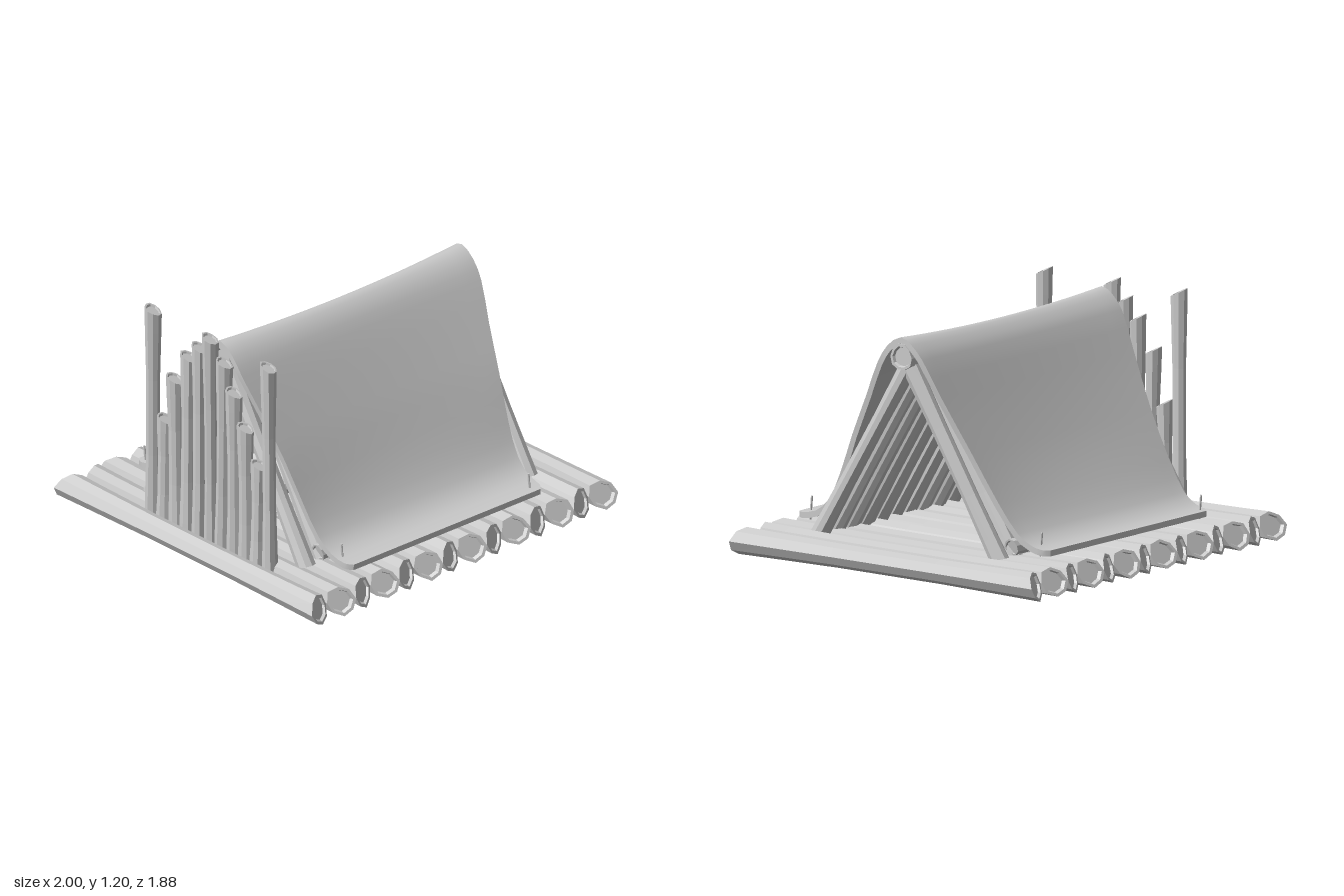
import * as THREE from 'three';

const wood = new THREE.MeshStandardMaterial({ color: 0xcccccc, flatShading: true });
const cloth = new THREE.MeshStandardMaterial({ color: 0xcccccc, side: THREE.DoubleSide });
const UP = new THREE.Vector3(0, 1, 0);

// Roughly hewn log between two points: narrow waist, slanted ends with a sunken core
function log(name, from, to, r, { cutX = 0, cutZ = 0, waist = 0.87, sides = 9, turn = 0 } = {}) {
  const a = new THREE.Vector3(...from), b = new THREE.Vector3(...to);
  const h = a.distanceTo(b) / 2, dip = r * 0.22;
  const half = [[r * waist, h * 0.35], [r * 0.95, h * 0.8], [r, h], [r * 0.8, h], [r * 0.72, h - dip], [0, h - dip]];
  const profile = [
    ...half.map(([x, y]) => new THREE.Vector2(x, -y)).reverse(),
    ...half.map(([x, y]) => new THREE.Vector2(x, y)),
  ];
  const geo = new THREE.LatheGeometry(profile, sides);
  const p = geo.attributes.position;
  for (let i = 0; i < p.count; i++) {
    // Uneven girth, then the slanted cut at each end
    const girth = 1 + 0.05 * Math.sin(3 * Math.atan2(p.getX(i), p.getZ(i)) + turn);
    const x = p.getX(i) * girth, y = p.getY(i), z = p.getZ(i) * girth;
    const cut = Math.abs(y) > h * 0.85 ? Math.sign(y) * (cutZ * z - cutX * x) : 0;
    p.setXYZ(i, x, y + cut, z);
  }
  geo.computeVertexNormals();
  const mesh = new THREE.Mesh(geo, wood);
  mesh.name = name;
  mesh.position.copy(a).add(b).multiplyScalar(0.5);
  mesh.quaternion.setFromUnitVectors(UP, b.sub(a).normalize());
  return mesh;
}

// Draped sheet: a thin box bent along a curve of (half width, height, depth)
function makeCover() {
  const path = new THREE.CatmullRomCurve3([
    [0.61, 0.160, -0.74], [0.635, 0.161, -0.71], [0.642, 0.178, -0.64], [0.65, 0.23, -0.56],
    [0.668, 0.37, -0.455], [0.70, 0.61, -0.31], [0.75, 0.87, -0.165], [0.78, 1.05, -0.07],
    [0.785, 1.115, -0.01], [0.785, 1.143, 0.045], [0.785, 1.095, 0.12], [0.78, 1.01, 0.18],
    [0.74, 0.83, 0.28], [0.70, 0.61, 0.4], [0.668, 0.40, 0.5], [0.65, 0.25, 0.59],
    [0.642, 0.182, 0.68], [0.635, 0.162, 0.775], [0.61, 0.160, 0.81],
  ].map(q => new THREE.Vector3(...q)));
  const geo = new THREE.BoxGeometry(2, 1, 1, 16, 1, 36);
  const p = geo.attributes.position;
  for (let i = 0; i < p.count; i++) {
    const u = p.getX(i), t = p.getZ(i) + 0.5;
    const c = path.getPoint(t), d = path.getTangent(t);
    const len = Math.hypot(d.y, d.z) || 1;
    const sag = 0.026 * (1 - u * u) * THREE.MathUtils.smoothstep(c.y, 0.15, 0.6);
    const off = p.getY(i) * 0.03 - sag;
    p.setXYZ(i, u * c.x - 0.006, c.y + off * d.z / len, c.z - off * d.y / len);
  }
  geo.computeVertexNormals();
  const mesh = new THREE.Mesh(geo, cloth);
  mesh.name = 'clothCover';
  return mesh;
}

export function createModel() {
  const model = new THREE.Group();
  model.name = 'raftShelter';

  // Raft floor: neighbouring logs are turned end for end
  const floor = new THREE.Group();
  floor.name = 'raftFloor';
  for (let i = 0; i < 14; i++) {
    const pivot = new THREE.Group();
    pivot.name = 'floorLogPivot';
    pivot.add(log('floorLog', [0, 0, -0.905], [0, 0, 0.905], 0.07, { cutX: 0.4, cutZ: 0.36, sides: 8, turn: (i % 3) * 0.9 }));
    pivot.position.set(-0.926 + i * 0.1425, 0.07, 0);
    pivot.rotation.y = i % 2 ? Math.PI : 0;
    floor.add(pivot);
  }
  model.add(floor);

  // End wall of upright posts: tall in the middle and at both corners
  const wall = new THREE.Group();
  wall.name = 'postWall';
  const tops = [1.18, 0.62, 0.87, 1.02, 1.1, 1.18, 1.08, 0.95, 0.79, 0.62, 1.18];
  tops.forEach((top, i) => {
    const z = -0.403 + i * 0.0843, lean = 0.005 * Math.sin(i * 2.3);
    wall.add(log('wallPost', [-0.832 - lean, 0.025, z], [-0.832 + lean, top, z + lean], 0.042, { cutX: 0.2, cutZ: -0.45, waist: 0.8, turn: i }));
  });
  model.add(wall);

  // Ridge pole and closely set pairs of rafters
  const frame = new THREE.Group();
  frame.name = 'tentFrame';
  frame.add(log('ridgePole', [-0.785, 1.06, 0.04], [0.785, 1.06, 0.04], 0.066, { waist: 0.85, sides: 10 }));
  for (let i = 0; i < 14; i++) {
    const x = -0.725 + i * 0.1115;
    for (const s of [-1, 1]) {
      frame.add(log('rafter', [x + s * 0.008, 0.12, 0.03 + s * 0.545], [x, 1.01, 0.03 + s * 0.005], 0.047, { cutZ: s * 0.3, turn: i }));
    }
  }

  // Short braces beside the post wall and foot beams under the cover
  for (const s of [-1, 1]) {
    frame.add(log('wallBrace', [-0.78, 0.42, 0.035 + s * 0.275], [-0.6, 0.42, 0.035 + s * 0.275], 0.045, { cutX: 0.2 }));
    frame.add(log('footBeam', [-0.65, 0.17, 0.027 + s * 0.56], [0.65, 0.17, 0.027 + s * 0.56], 0.042, { cutX: 0.2 }));
  }
  model.add(frame);

  model.add(makeCover());

  // Pegs holding the cover corners
  for (const [x, z] of [[-0.61, 0.72], [0.57, 0.765], [-0.61, -0.705], [0.57, -0.655]]) {
    const peg = new THREE.Mesh(new THREE.CylinderGeometry(0.006, 0.006, 0.12, 6), wood);
    peg.name = 'coverPeg';
    peg.position.set(x, 0.19, z);
    peg.rotation.x = -0.1;
    model.add(peg);
  }
  return model;
}
